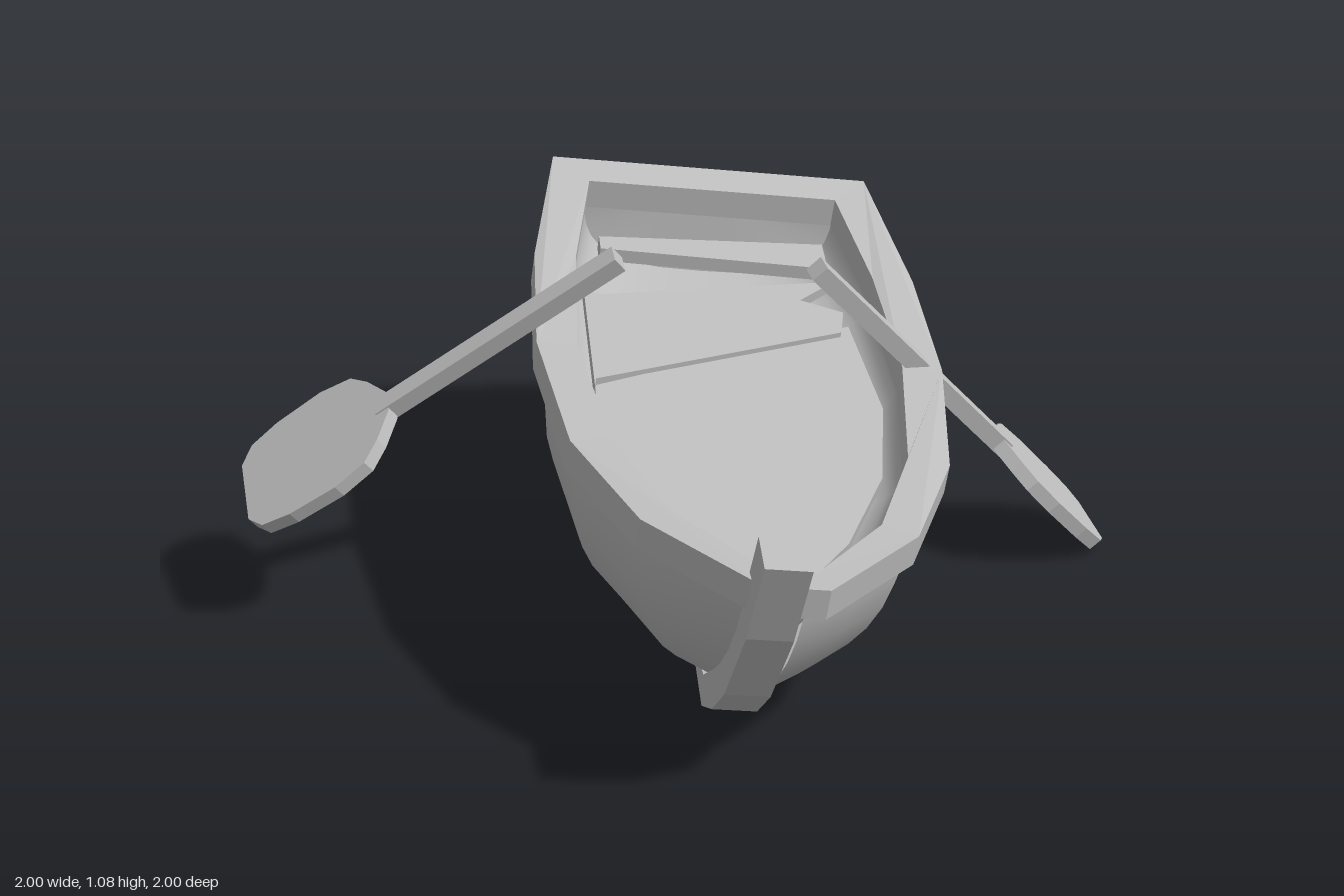
import * as THREE from 'three';

const grey = new THREE.MeshStandardMaterial({ color: 0xbebebe, side: THREE.DoubleSide });
grey.name = 'plain grey';

function part(name, geometry, parent) {
  const mesh = new THREE.Mesh(geometry, grey);
  mesh.name = name;
  parent.add(mesh);
  return mesh;
}

const shapeOf = (pts) => new THREE.Shape(pts.map(([a, b]) => new THREE.Vector2(a, b)));
const extrude = (shape, depth) => new THREE.ExtrudeGeometry(shape, { depth, bevelEnabled: false });
// Half outline [length, half width] mirrored into a closed [x, length] outline
const mirrored = (half) => [
  ...half.map(([s, w]) => [w, s]),
  ...half.slice().reverse().map(([s, w]) => [-w, s]),
];
// Height of the gunwale along the boat
const sheer = (s) => 0.745 + (s < 0 ? 0.04 : 0.07) * s * s;

// Hull stations: position, half width, keel height, rake of the lower edge, fullness
const STATIONS = [
  [-0.975, 0.425, 0.25, 0.09, 3.2],
  [-0.49, 0.49, 0.195, 0.03, 3],
  [-0.04, 0.51, 0.17, 0, 3],
  [0.42, 0.46, 0.175, -0.08, 2.7],
  [0.82, 0.32, 0.185, -0.22, 2.2],
  [1.01, 0.18, 0.2, -0.33, 1.8],
  [1.13, 0.03, 0.2, -0.4, 1.5],
];
const SEG = 18;

// Cross-section from the left rail, under the keel, to the right rail
function section([s, b, keel, rake, full]) {
  const top = sheer(s) - 0.03, pts = [];
  for (let j = 0; j <= SEG; j++) {
    const t = Math.PI * (0.5 - j / SEG);
    const down = Math.pow(Math.max(0, Math.cos(t)), 2 / full);
    const x = b * Math.sign(t) * Math.pow(Math.abs(Math.sin(t)), 2 / full);
    pts.push([x, top - (top - keel) * down, s + rake * down * down]);
  }
  return pts;
}

function bufferFrom(pts, index) {
  const g = new THREE.BufferGeometry();
  g.setAttribute('position', new THREE.Float32BufferAttribute(pts.flat(), 3));
  g.setIndex(index);
  g.computeVertexNormals();
  return g;
}

function loft(stations, inward) {
  const pts = stations.flatMap(section), index = [], n = SEG + 1;
  for (let i = 0; i < stations.length - 1; i++)
    for (let j = 0; j < SEG; j++) {
      const a = i * n + j, b = a + 1, c = b + n, d = a + n;
      if (inward) index.push(a, c, d, a, b, c);
      else index.push(a, d, c, a, c, b);
    }
  return bufferFrom(pts, index);
}

function transom(station, inward) {
  const pts = [[0, sheer(station[0]) - 0.03, station[0]], ...section(station)], index = [];
  for (let j = 1; j <= SEG; j++) index.push(0, inward ? j + 1 : j, inward ? j : j + 1);
  return bufferFrom(pts, index);
}

function makeBoat() {
  const boat = new THREE.Group();
  boat.name = 'boat';

  // Outer skin, and a shallower lining inside
  const lining = STATIONS.map(([s, b, , rake, full], i) =>
    [i ? s - 0.03 : s + 0.07, Math.max(0.02, b - 0.06), 0.52, rake * 0.35, full]);
  part('outerHull', loft(STATIONS, false), boat);
  part('innerLining', loft(lining, true), boat);
  part('transomOutside', transom(STATIONS[0], false), boat);
  part('transomInside', transom(lining[0], true), boat);

  // Gunwale ring, bent to the sheer line
  const ring = shapeOf(mirrored([[-1.01, 0.46], [-0.49, 0.535], [-0.04, 0.55], [0.45, 0.49], [0.83, 0.345], [1.14, 0.08]]));
  ring.holes.push(shapeOf(mirrored([[-0.895, 0.36], [-0.49, 0.42], [-0.04, 0.44], [0.42, 0.385], [0.78, 0.26], [1.05, 0.06]])));
  const rail = extrude(ring, 0.085).rotateX(Math.PI / 2);
  const p = rail.attributes.position;
  for (let i = 0; i < p.count; i++) p.setY(i, p.getY(i) + sheer(p.getZ(i)));
  rail.computeVertexNormals();
  part('gunwale', rail, boat);

  // Curved stem post at the bow
  const stem = extrude(shapeOf([
    [1.225, 0.95], [1.16, 0.7], [1.025, 0.43], [0.905, 0.29], [0.77, 0.195], [0.58, 0.195],
    [0.58, 0.225], [0.725, 0.26], [0.845, 0.37], [0.955, 0.52], [1.045, 0.74], [1.095, 0.95],
  ]), 0.115);
  part('stemPost', stem.rotateY(-Math.PI / 2).translate(0.008, 0, 0.005), boat);

  // Bow deck and skewed thwart boards, just below the gunwale
  const board = (name, pts, y, thick) =>
    part(name, extrude(shapeOf(pts), thick).rotateX(Math.PI / 2).translate(0, y, 0), boat);
  board('bowDeck', [
    [0.36, -0.42], [0.4, 0], [0.35, 0.34], [0.22, 0.65], [0.08, 0.85], [-0.08, 0.87],
    [-0.26, 0.73], [-0.33, 0.54], [-0.4, 0.26], [-0.38, -0.02],
  ], 0.635, 0.03);
  board('sternBench', [[-0.32, -0.82], [0.34, -0.87], [0.34, -0.73], [-0.32, -0.75]], 0.64, 0.04);
  board('rearThwart', [[-0.38, -0.53], [0.36, -0.71], [0.18, -0.52]], 0.61, 0.03);
  board('rearBoards', [[-0.38, -0.52], [0.18, -0.52], [-0.38, -0.03]], 0.625, 0.03);
  board('middleThwart', [[-0.38, -0.03], [0.19, -0.54], [0.35, -0.47], [0.33, -0.36]], 0.65, 0.04);

  boat.rotation.order = 'YXZ';
  boat.rotation.set(0.122, Math.PI / 4, -0.13);
  boat.position.set(-0.027, 0, 0.047);
  return boat;
}

// Oar running from the grip to the blade tip, with the blade spread along "across"
function makeOar(name, grip, tip, across, spread) {
  const oar = new THREE.Group();
  oar.name = name;
  const start = new THREE.Vector3(...grip);
  const axis = new THREE.Vector3(...tip).sub(start);
  const length = axis.length();
  axis.normalize();
  const side = new THREE.Vector3(...across);
  side.addScaledVector(axis, -side.dot(axis)).normalize();
  const face = new THREE.Vector3().crossVectors(side, axis);

  const neck = length - 0.48;
  part('shaft', new THREE.BoxGeometry(0.055, neck + 0.04, 0.05).translate(0, (neck + 0.04) / 2, 0), oar);
  const half = [[0, 0.035], [0.05, 0.11], [0.1, 0.16], [0.2, 0.18], [0.35, 0.172], [0.44, 0.15], [0.48, 0.1]];
  const outline = mirrored(half.map(([s, w]) => [s, w * spread]));
  part('blade', extrude(shapeOf(outline), 0.04).translate(0, neck, -0.02), oar);

  oar.quaternion.setFromRotationMatrix(new THREE.Matrix4().makeBasis(side, axis, face));
  oar.position.copy(start);
  return oar;
}

export function createModel() {
  const model = new THREE.Group();
  model.name = 'rowingBoat';
  model.add(
    makeBoat(),
    makeOar('rightOar', [-0.12, 1.055, 0.28], [-0.895, 0.36, 0.92], [0.27, -0.1, 0.22], 1.06),
    makeOar('leftOar', [0.27, 1.02, -0.06], [0.605, 0.03, -0.905], [0.27, -0.048, 0.188], 0.87),
  );
  return model;
}
